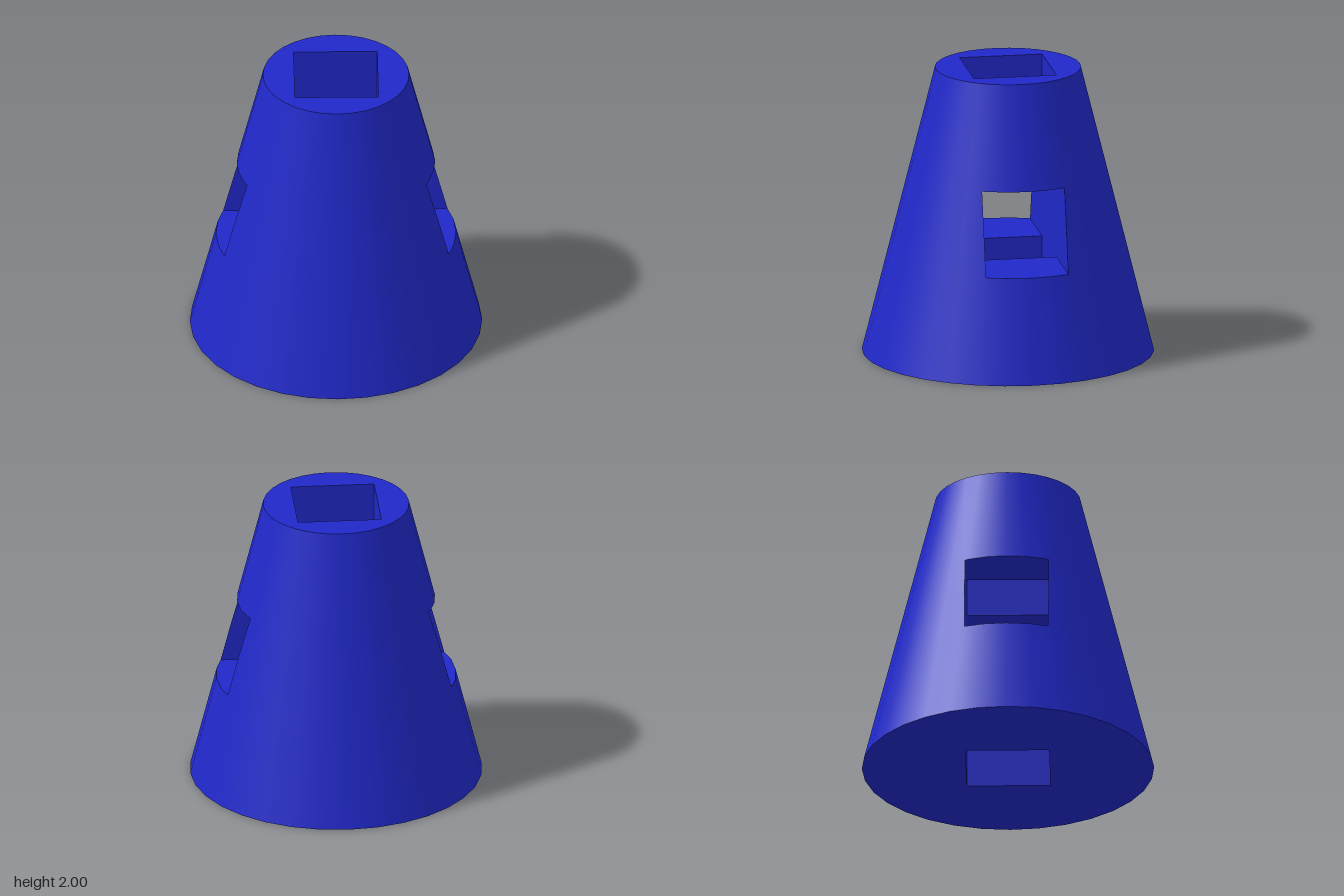
import * as THREE from 'three';

const SIDES = 32, STEP = (Math.PI * 2) / SIDES;
const HEIGHT = 2, H = 0.286;              // H: half width of both square bores
const Y0 = 1 - H, Y1 = 1 + H;             // bottom and top of the cross bore
const radiusAt = (y) => 1 - 0.25 * y;

// Point on the 32-sided cone at an angle and height
function conePoint(a, y) {
  const local = a - Math.floor(a / STEP) * STEP - STEP / 2;
  const r = (radiusAt(y) * Math.cos(STEP / 2)) / Math.cos(local);
  return [r * Math.cos(a), y, r * Math.sin(a)];
}

// Angle at which the cone's surface meets the plane z = H
function edgeAngle(y) {
  const u = H / radiusAt(y);
  const a = Math.floor(Math.asin(u) / STEP) * STEP, b = a + STEP;
  const t = (u - Math.sin(a)) / (Math.sin(b) - Math.sin(a));
  return Math.atan2(u, THREE.MathUtils.lerp(Math.cos(a), Math.cos(b), t));
}

// Patch of the cone's skin whose side edges follow lo(y) and hi(y)
function skin(k0, k1, lo, hi, y0, y1, rows) {
  const pos = [], nor = [], idx = [], n = k1 - k0 + 1;
  for (let j = 0; j <= rows; j++) {
    const y = y0 + ((y1 - y0) * j) / rows;
    for (let k = k0; k <= k1; k++) {
      const a = THREE.MathUtils.clamp(k * STEP, lo(y), hi(y));
      pos.push(...conePoint(a, y));
      nor.push(...new THREE.Vector3(Math.cos(a), 0.25, Math.sin(a)).normalize().toArray());
      if (j < rows && k < k1) {
        const p = j * n + k - k0;
        idx.push(p, p + n, p + 1, p + n, p + n + 1, p + 1);
      }
    }
  }
  const g = new THREE.BufferGeometry();
  g.setAttribute('position', new THREE.Float32BufferAttribute(pos, 3));
  g.setAttribute('normal', new THREE.Float32BufferAttribute(nor, 3));
  g.setIndex(idx);
  return g;
}

const polygon = (pts) => new THREE.Shape(pts.map(([x, y]) => new THREE.Vector2(x, y)));

// Round end face with the square bore cut out
function endFace(r) {
  const ring = [];
  for (let k = 0; k < SIDES; k++) ring.push([r * Math.cos(k * STEP), r * Math.sin(k * STEP)]);
  const shape = polygon(ring);
  shape.holes.push(polygon([[-H, -H], [-H, H], [H, H], [H, -H]]));
  return new THREE.ShapeGeometry(shape);
}

// Floor or ceiling of the cross bore, from the upright bore out to the skin
function ledge(y) {
  const e = edgeAngle(y), pts = [[H, H], [H, -H]];
  for (let k = -4; k <= 4; k++) {
    const a = THREE.MathUtils.clamp(k * STEP, -e, e);
    if (k > -4 && k < 4 && Math.abs(k * STEP) >= e) continue;
    const [x, , z] = conePoint(a, y);
    pts.push([x, z]);
  }
  return new THREE.ShapeGeometry(polygon(pts));
}

// Cross-shaped flat wall shared by both bores
function crossWall() {
  const edge = [];
  for (let j = 0; j <= 12; j++) {
    const y = Y0 + ((Y1 - Y0) * j) / 12;
    edge.push([conePoint(edgeAngle(y), y)[0], y]);
  }
  const mirrored = edge.map(([x, y]) => [-x, y]).reverse();
  return new THREE.ShapeGeometry(polygon([
    [-H, 0], [H, 0], [H, Y0], ...edge, [H, Y1],
    [H, HEIGHT], [-H, HEIGHT], [-H, Y1], ...mirrored, [-H, Y0],
  ]));
}

export function createModel() {
  const model = new THREE.Group();
  model.name = 'boredCone';
  const material = new THREE.MeshStandardMaterial({ color: 0x2028c8 });
  const add = (parent, name, geometry) => {
    const mesh = new THREE.Mesh(geometry, material);
    mesh.name = name;
    parent.add(mesh);
    return mesh;
  };

  // End faces
  add(model, 'topFace', endFace(radiusAt(HEIGHT)).rotateX(-Math.PI / 2)).position.y = HEIGHT;
  add(model, 'bottomFace', endFace(1).rotateX(Math.PI / 2));

  // One half of the body; the other is the same turned half way round
  const half = new THREE.Group();
  const neg = (y) => -edgeAngle(y);
  add(half, 'broadSkin', skin(0, 16, edgeAngle, (y) => Math.PI - edgeAngle(y), 0, HEIGHT, 42));
  add(half, 'skinBelowWindow', skin(-4, 4, neg, edgeAngle, 0, Y0, 15));
  add(half, 'skinAboveWindow', skin(-4, 4, neg, edgeAngle, Y1, HEIGHT, 15));
  add(half, 'windowFloor', ledge(Y0).rotateX(-Math.PI / 2)).position.y = Y0;
  add(half, 'windowCeiling', ledge(Y1).rotateX(Math.PI / 2)).position.y = Y1;
  add(half, 'crossWall', crossWall()).position.z = -H;
  for (const [name, a, b] of [['lowerBoreWall', 0, Y0], ['upperBoreWall', Y1, HEIGHT]]) {
    const wall = new THREE.PlaneGeometry(2 * H, b - a).rotateY(-Math.PI / 2);
    add(half, name, wall).position.set(H, (a + b) / 2, 0);
  }
  half.name = 'frontHalf';
  const other = half.clone();
  other.name = 'backHalf';
  other.rotation.y = Math.PI;
  model.add(half, other);
  return model;
}
